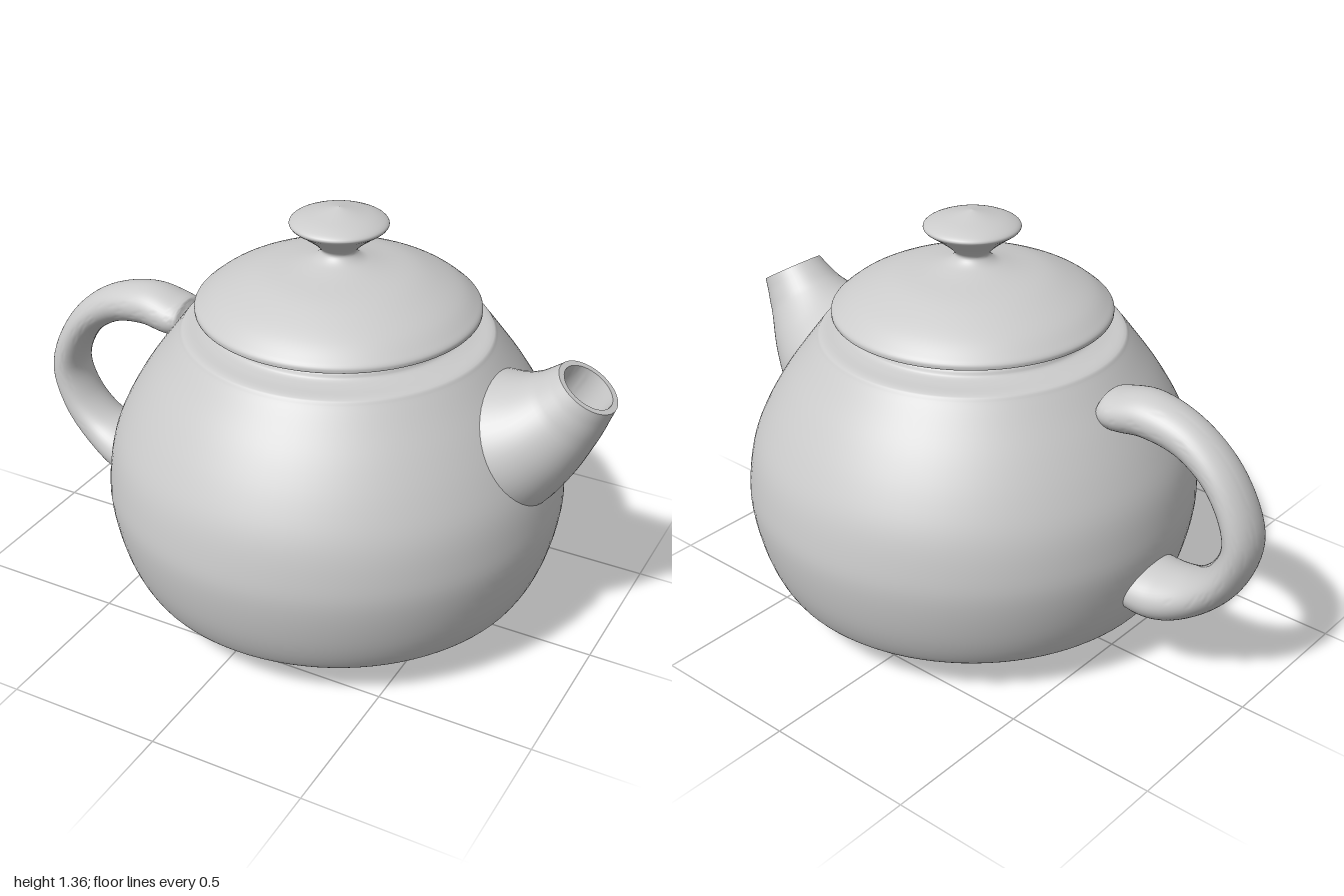
import * as THREE from 'three';
import { toCreasedNormals, mergeVertices } from 'three/addons/utils/BufferGeometryUtils.js';

const V = (x, y, z = 0) => new THREE.Vector3(x, y, z);
const grey = () => new THREE.MeshStandardMaterial({ color: 0xcccccc });

function makeMesh(name, geometry) {
  const mesh = new THREE.Mesh(geometry, grey());
  mesh.name = name;
  return mesh;
}

// Smooth curve through [radius, height] points, turned round the pot's axis
function turned(name, ...runs) {
  const points = [];
  for (const run of runs) {
    const curve = new THREE.CatmullRomCurve3(run.map(([r, y]) => V(r, y)), false, 'centripetal');
    const n = run.length > 2 ? run.length * 4 : 1;
    curve.getPoints(n).forEach((p, i) => {
      if (i || !points.length) points.push(new THREE.Vector2(Math.max(p.x, 0), p.y));
    });
  }
  const mesh = makeMesh(name, new THREE.LatheGeometry(points, 96));
  mesh.position.x = 0.09;
  return mesh;
}

// Skin over elliptical rings { c, u, v }, with closed ends
function loft(rings, sides = 48) {
  const pos = [], index = [];
  const shrink = (r) => ({ c: r.c, u: r.u.clone().multiplyScalar(1e-4), v: r.v.clone().multiplyScalar(1e-4) });
  const all = [shrink(rings[0]), ...rings, shrink(rings[rings.length - 1])];
  all.forEach(({ c, u, v }, i) => {
    for (let j = 0; j < sides; j++) {
      const t = (j / sides) * Math.PI * 2;
      const p = c.clone().addScaledVector(u, Math.cos(t)).addScaledVector(v, Math.sin(t));
      pos.push(p.x, p.y, p.z);
      if (i === all.length - 1) continue;
      const a = i * sides + j, b = i * sides + ((j + 1) % sides);
      index.push(a, b, a + sides, b, b + sides, a + sides);
    }
  });
  const g = new THREE.BufferGeometry();
  g.setAttribute('position', new THREE.Float32BufferAttribute(pos, 3));
  g.setIndex(index);
  return toCreasedNormals(mergeVertices(g, 1e-5), 0.8);
}

// Four values per station, blended smoothly along the part
function blend(stations, count) {
  const a = new THREE.CatmullRomCurve3(stations.map((s) => V(s[0], s[1])));
  const b = new THREE.CatmullRomCurve3(stations.map((s) => V(s[2], s[3])), false, 'catmullrom');
  return Array.from({ length: count + 1 }, (_, i) => {
    const t = i / count;
    return { p: a.getPoint(t), q: b.getPoint(t), tangent: a.getTangent(t) };
  });
}

function handle() {
  // x, y, half thickness, half width
  const stations = [
    [-0.44, 0.865, 0.03, 0.05], [-0.455, 0.863, 0.055, 0.085], [-0.5, 0.865, 0.066, 0.098],
    [-0.6, 0.88, 0.07, 0.092], [-0.75, 0.845, 0.062, 0.08], [-0.875, 0.745, 0.054, 0.08],
    [-0.947, 0.58, 0.053, 0.085], [-0.91, 0.45, 0.058, 0.09], [-0.82, 0.35, 0.068, 0.1],
    [-0.7, 0.295, 0.085, 0.125], [-0.61, 0.295, 0.083, 0.13], [-0.55, 0.31, 0.07, 0.11],
  ];
  const z = V(0, 0, 1);
  return makeMesh('handle', loft(blend(stations, 72).map(({ p, q, tangent }) => ({
    c: p.setZ(0.012),
    u: z.clone().cross(tangent).multiplyScalar(q.x),
    v: z.clone().multiplyScalar(q.y),
  }))));
}

function spout() {
  // Upper edge x, y, lower edge x, y
  const edges = [
    [0.52, 0.9, 0.72, 0.47], [0.6, 0.905, 0.81, 0.53], [0.68, 0.917, 0.89, 0.645],
    [0.745, 0.945, 0.955, 0.78], [0.79, 0.975, 0.982, 0.85], [0.82, 0.997, 0.997, 0.89],
  ];
  const widths = new THREE.CatmullRomCurve3([0.24, 0.23, 0.185, 0.13, 0.11, 0.1].map((w) => V(w, 0)));
  const count = 30;
  const rings = blend(edges, count).map(({ p, q }, i) => ({
    c: p.clone().add(q).multiplyScalar(0.5).setZ(-0.012),
    u: p.clone().sub(q).multiplyScalar(0.5),
    v: V(0, 0, widths.getPoint(i / count).x),
  }));
  // Rim and hollow bore leading back down into the pot
  const lip = rings[count];
  const bore = [[0, 0.82], [0.04, 0.8], [0.12, 0.8], [0.22, 0.8]].map(([depth, s]) => ({
    c: lip.c.clone().addScaledVector(V(-0.52, -0.85), depth),
    u: lip.u.clone().multiplyScalar(s),
    v: lip.v.clone().multiplyScalar(s),
  }));
  return makeMesh('spout', loft([...rings, ...bore]));
}

export function createModel() {
  const group = new THREE.Group();
  group.name = 'teapot';

  // Body with shallow pointed underside and stepped neck
  group.add(turned('body',
    [[0, 0], [0.2, 0.02], [0.4, 0.045], [0.56, 0.085], [0.645, 0.12], [0.672, 0.155], [0.71, 0.25],
      [0.738, 0.4], [0.732, 0.5], [0.71, 0.6], [0.665, 0.7], [0.605, 0.8], [0.54, 0.89], [0.498, 0.945],
      [0.485, 0.96], [0.43, 0.968], [0.395, 0.978], [0.385, 0.995], [0.36, 1.005]],
    [[0.36, 1.005], [0, 1.005]]));

  // Domed lid with a flared knob
  group.add(turned('lid',
    [[0, 1.006], [0.37, 1.006]],
    [[0.37, 1.006], [0.41, 1.014], [0.446, 1.026]],
    [[0.446, 1.026], [0.445, 1.04], [0.425, 1.06], [0.385, 1.09], [0.32, 1.123], [0.24, 1.153], [0.12, 1.178],
      [0.073, 1.194], [0.055, 1.215], [0.073, 1.238], [0.12, 1.275], [0.152, 1.3], [0.15, 1.309],
      [0.12, 1.325], [0.06, 1.341], [0, 1.355]]));

  group.add(handle(), spout());
  return group;
}
